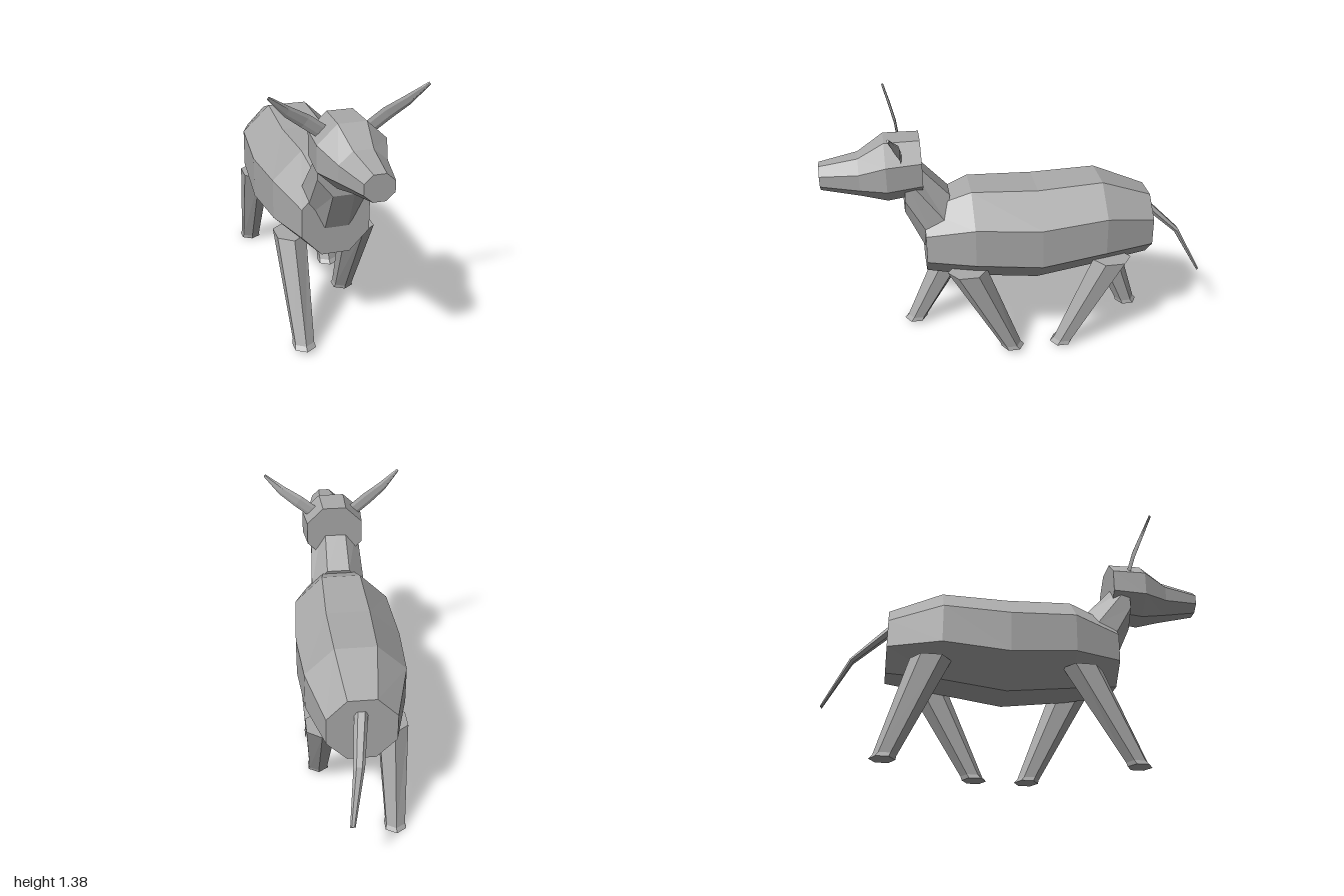
import * as THREE from 'three';

const V = (x, y, z) => new THREE.Vector3(x, y, z);
const grey = new THREE.MeshStandardMaterial({ color: 0xaaaaaa });
grey.name = 'hide grey';

// Cross-section: centre c with half-extents u and v; flats face u and v when turned by half a step
function ring(c, u, v, sides, turn = 0.5) {
  const scale = turn ? 1 / Math.cos(Math.PI / sides) : 1;
  return { c, u: u.multiplyScalar(scale), v: v.multiplyScalar(scale), sides, turn };
}

// Closed, faceted skin through a list of rings
function loft(name, rings) {
  const axis = rings[1].c.clone().sub(rings[0].c);
  const sign = rings[0].u.clone().cross(rings[0].v).dot(axis) < 0 ? -1 : 1;
  const n = rings[0].sides;
  const loops = rings.map(r => Array.from({ length: n }, (_, i) => {
    const a = sign * (i + r.turn) * 2 * Math.PI / n;
    return r.c.clone().addScaledVector(r.u, Math.cos(a)).addScaledVector(r.v, Math.sin(a));
  }));
  const pos = [];
  const tri = (...pts) => pts.forEach(p => pos.push(p.x, p.y, p.z));
  const last = loops.length - 1;
  for (let i = 0; i < n; i++) {
    const j = (i + 1) % n;
    for (let k = 0; k < last; k++) {
      const a = loops[k], b = loops[k + 1];
      tri(a[i], a[j], b[j]);
      tri(a[i], b[j], b[i]);
    }
    tri(rings[0].c, loops[0][j], loops[0][i]);
    tri(rings[last].c, loops[last][i], loops[last][j]);
  }
  const geo = new THREE.BufferGeometry();
  geo.setAttribute('position', new THREE.Float32BufferAttribute(pos, 3));
  geo.computeVertexNormals();
  const mesh = new THREE.Mesh(geo, grey);
  mesh.name = name;
  return mesh;
}

// Upright octagon facing along z
const upright = (x, [z, y, rx, ry]) => ring(V(x, y, z), V(rx, 0, 0), V(0, ry, 0), 8);

export function createModel() {
  const model = new THREE.Group();
  model.name = 'hornedAnimal';

  // Barrel body: z, centre y, half-width, half-height
  model.add(loft('body', [
    [-0.685, 0.657, 0.17, 0.173], [-0.415, 0.697, 0.25, 0.24], [-0.075, 0.667, 0.27, 0.257],
    [0.265, 0.695, 0.25, 0.245], [0.507, 0.667, 0.17, 0.18],
  ].map(s => upright(-0.01, s))));

  // Neck leaning forward out of the shoulders
  model.add(loft('neck', [
    ring(V(-0.007, 0.73, 0.42), V(0.147, 0, 0), V(0, 0.185, -0.05), 8),
    ring(V(-0.003, 1.0, 0.595), V(0.128, 0, 0), V(0, 0.16, -0.005), 8),
  ]));

  // Head tapering to a blunt muzzle, nudged a little to its left
  model.add(loft('head', [
    upright(0, [0.505, 1.083, 0.15, 0.145]),
    upright(0.003, [0.68, 1.075, 0.163, 0.155]),
    upright(0.01, [0.81, 1.052, 0.112, 0.1]),
    upright(0.017, [1.0, 1.058, 0.07, 0.063]),
  ]));

  // Thin blade-like horns
  for (const [name, s] of [['leftHorn', 1], ['rightHorn', -1]]) {
    model.add(loft(name, [
      [0.08, 1.145, 0.6, 0.034], [0.19, 1.23, 0.612, 0.034],
      [0.277, 1.29, 0.632, 0.026], [0.367, 1.37, 0.66, 0.008],
    ].map(([x, y, z, w]) =>
      ring(V(s * x, y, z), V(-s * 0.6 * w, 0.8 * w, 0), V(-s * 0.001, 0, 0.006), 6, 0))));
  }

  // Legs in mid stride: side, hip z, foot z, ground height
  for (const [name, s, hip, foot, ground] of [
    ['leftFrontLeg', 1, 0.305, 0.07, 0.022], ['rightFrontLeg', -1, 0.305, 0.575, 0.022],
    ['leftHindLeg', 1, -0.465, -0.2, 0.022], ['rightHindLeg', -1, -0.465, -0.67, 0],
  ]) {
    const x = s * 0.179 - 0.01;
    const lean = (foot - hip) * 0.05;
    model.add(loft(name, [
      [hip, 0.525, 0.084, 0.103], [foot - lean, ground + 0.02, 0.055, 0.056],
      [foot, ground, 0.061, 0.0625],
    ].map(([z, y, rx, rz]) => ring(V(x, y, z), V(0, 0, rz), V(rx, 0, 0), 6, 0))));
  }

  // Tail sweeping down and to the left
  model.add(loft('tail', [
    [-0.005, 0.752, -0.675, 0.034, 0.024], [0.025, 0.582, -0.86, 0.027, 0.015],
    [0.068, 0.34, -0.993, 0.013, 0.008],
  ].map(([x, y, z, w, t]) => ring(V(x, y, z), V(w, 0, 0), V(0, 0.75 * t, -0.66 * t), 6, 0))));

  return model;
}
